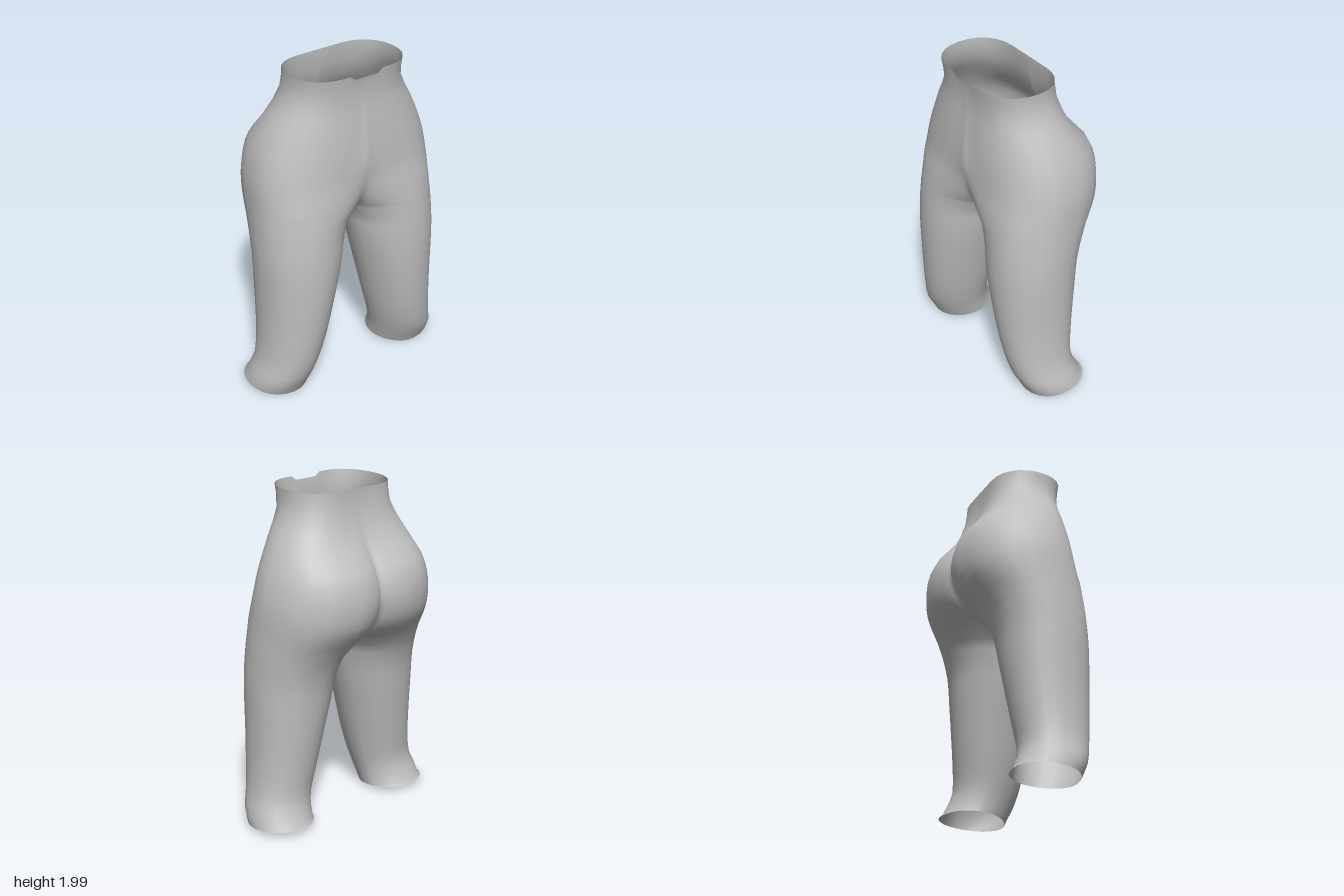
import * as THREE from 'three';
import { mergeVertices } from 'three/addons/utils/BufferGeometryUtils.js';

// Hip sections: y, side x, side z, front x, front z, back x, back z, centre front z, centre back z
const HIPS = [
  [2.0, 0.35, 0.08, 0.15, 0.305, 0.15, -0.13, 0.305, -0.13],
  [1.86, 0.36, 0.07, 0.12, 0.292, 0.16, -0.14, 0.294, -0.137],
  [1.7, 0.455, 0.05, 0.12, 0.305, 0.18, -0.2, 0.31, -0.185],
  [1.56, 0.52, 0.04, 0.15, 0.315, 0.19, -0.315, 0.325, -0.26],
  [1.45, 0.552, 0.04, 0.2, 0.318, 0.19, -0.355, 0.332, -0.305],
  [1.35, 0.568, 0.04, 0.25, 0.322, 0.19, -0.362, 0.315, -0.312],
  [1.25, 0.573, 0.05, 0.29, 0.337, 0.2, -0.345, 0.285, -0.275],
  [1.17, 0.576, 0.06, 0.3, 0.346, 0.22, -0.3, 0.235, -0.21],
  [1.11, 0.579, 0.07, 0.31, 0.352, 0.25, -0.255, 0.15, -0.11],
];
// Leg sections: y, outer x, side z, front x, front z, back x, back z, inner x
const LEG = [
  [1.03, 0.582, 0.08, 0.32, 0.358, 0.28, -0.21, 0.035],
  [0.9, 0.584, 0.1, 0.33, 0.364, 0.31, -0.165, 0.062],
  [0.75, 0.583, 0.1, 0.34, 0.364, 0.33, -0.145, 0.095],
  [0.55, 0.581, 0.1, 0.36, 0.353, 0.36, -0.12, 0.143],
  [0.35, 0.587, 0.1, 0.39, 0.335, 0.39, -0.095, 0.19],
  [0.2, 0.607, 0.09, 0.42, 0.31, 0.42, -0.08, 0.23],
  [0.1, 0.64, 0.07, 0.45, 0.28, 0.45, -0.11, 0.255],
  [0.015, 0.65, 0.04, 0.46, 0.235, 0.46, -0.15, 0.265],
];

const INNER = 5, OUTER = 6, BRIDGE = 4;          // segments of each arc
const C = 2 * (INNER + OUTER);                   // from centre front round to centre back
const COLS = C + BRIDGE;
const MAX = THREE.MathUtils.degToRad(72);        // where the inner arc meets the centre line
const lerp = THREE.MathUtils.lerp;

// Adds a smooth section halfway between each pair of rows
function refine(rows) {
  const out = [];
  rows.forEach((r, i) => {
    out.push(r);
    if (i === rows.length - 1) return;
    const p = rows[Math.max(i - 1, 0)], n = rows[i + 1], q = rows[Math.min(i + 2, rows.length - 1)];
    out.push(r.map((v, k) => (9 * (v + n[k]) - p[k] - q[k]) / 16));
  });
  return out;
}

// Quarter arc between the side and the front or back of a section
function outerArc(a, x0, z0, X, zm) {
  const s = Math.pow(Math.max(Math.sin(a), 0), 0.93), c = Math.pow(Math.max(Math.cos(a), 0), 0.93);
  return [x0 + (X - x0) * s, zm + (z0 - zm) * c];
}

// One ring of points on the left half of the body
function ring(row, isLeg) {
  const [y, X, zm, xf, zF, xb, zB, e0, e1] = row;
  const inner = (a, x0, z0, centre) => {
    if (isLeg) return [x0 - (x0 - e0) * Math.sin(a), zm + (z0 - zm) * Math.cos(a)];
    const t = (Math.cos(a) - Math.cos(MAX)) / (1 - Math.cos(MAX));
    return [x0 * (1 - Math.sin(a) / Math.sin(MAX)), centre + (z0 - centre) * t];
  };
  const pts = [];
  for (let j = 0; j < COLS; j++) {
    let p, py = y;
    if (j < INNER) p = inner(MAX * (1 - j / INNER), xf, zF, e0);
    else if (j < INNER + OUTER) p = outerArc((j - INNER) / OUTER * Math.PI / 2, xf, zF, X, zm);
    else if (j < INNER + 2 * OUTER) p = outerArc((1 - (j - INNER - OUTER) / OUTER) * Math.PI / 2, xb, zB, X, zm);
    else if (j <= C) p = inner(MAX * (j - INNER - 2 * OUTER) / INNER, xb, zB, e1);
    else {
      // Crotch strip joining centre back to centre front
      const t = (j - C) / BRIDGE;
      if (isLeg) {
        const a = lerp(MAX, Math.PI - MAX, t);
        p = a <= Math.PI / 2 ? inner(a, xb, zB) : inner(Math.PI - a, xf, zF);
      } else {
        p = [0, lerp(e1, e0, t)];
        py -= 0.03 * Math.sin(t * Math.PI);
      }
    }
    const [x, z] = p;
    // Uneven waistband and hem
    if (y > 1.99) py -= 0.02 * (0.31 - z) / 0.44 + (z > 0.2 && x < 0.1 ? 0.025 : 0);
    if (isLeg && y < 0.05) py = 0.005 + 0.03 * (0.235 - z) / 0.385 + 0.012 * Math.abs(x - 0.42) / 0.2;
    pts.push([x, py, z]);
  }
  return pts;
}

export function createModel() {
  const group = new THREE.Group();
  group.name = 'trousers';
  const grey = new THREE.MeshStandardMaterial({ color: 0xc0c0c0, side: THREE.DoubleSide });
  grey.name = 'plain grey';

  const hips = refine(HIPS).map(r => ring(r, false));
  const rings = hips.concat(refine(LEG).map(r => ring(r, true)));
  const positions = [];
  for (const side of [1, -1]) {
    for (const r of rings) for (const [x, y, z] of r) positions.push(side * x, y, z);
  }

  // Faces of one half between two rings; the hips stay open along the centre line
  function faces(half, from, to, cols) {
    const out = [], base = half * rings.length * COLS;
    for (let i = from; i < to; i++) {
      for (let j = 0; j < cols; j++) {
        const k = (j + 1) % COLS;
        const a = base + i * COLS + j, b = base + i * COLS + k;
        const d = a + COLS, c = b + COLS;
        if (half === 0) out.push(a, d, c, a, c, b);
        else out.push(a, c, d, a, b, c);
      }
    }
    return out;
  }
  const last = hips.length - 1, end = rings.length - 1;
  const parts = [
    ['hips', [...faces(0, 0, last, C), ...faces(1, 0, last, C)]],
    ['leftLeg', faces(0, last, end, COLS)],
    ['rightLeg', faces(1, last, end, COLS)],
  ];

  // Weld all parts so that the shading runs smoothly across the seams
  let shell = new THREE.BufferGeometry();
  shell.setAttribute('position', new THREE.Float32BufferAttribute(positions, 3));
  shell.setIndex(parts.flatMap(p => p[1]));
  shell = mergeVertices(shell, 1e-4);
  shell.computeVertexNormals();

  const index = Array.from(shell.index.array);
  let start = 0;
  for (const [name, list] of parts) {
    const geometry = new THREE.BufferGeometry();
    geometry.setAttribute('position', shell.attributes.position);
    geometry.setAttribute('normal', shell.attributes.normal);
    geometry.setIndex(index.slice(start, start + list.length));
    start += list.length;
    const mesh = new THREE.Mesh(geometry, grey);
    mesh.name = name;
    group.add(mesh);
  }
  return group;
}
